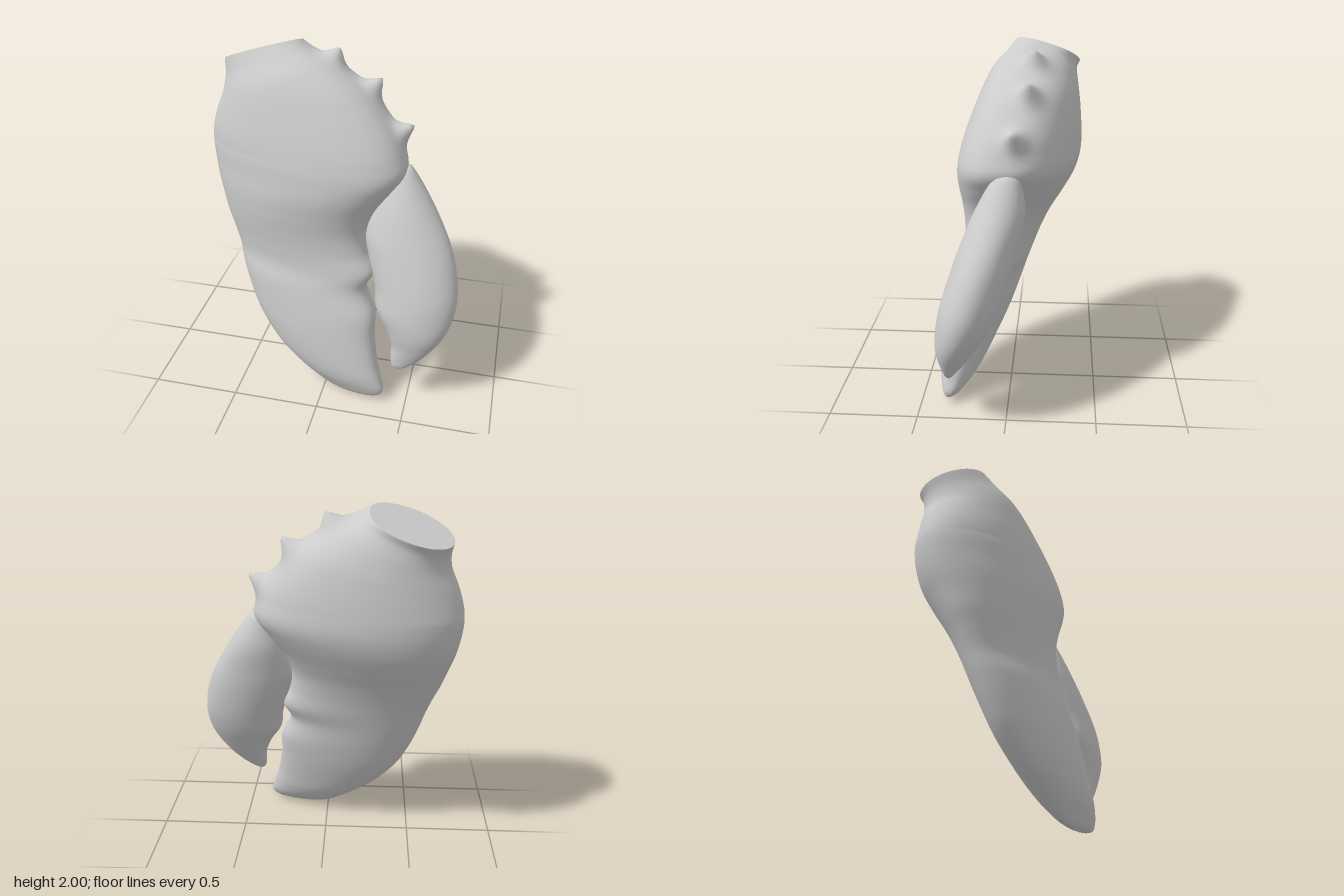
import * as THREE from 'three';

const material = new THREE.MeshStandardMaterial({ color: 0xcccccc, roughness: 0.8 });
const AROUND = 128;

// Cross-sections, top to bottom: [left x, left y, right x, right y, back z, front z]
const PALM = [
  [-0.67, 1.84, -0.235, 1.98, -0.372, 0.002],
  [-0.66, 1.77, -0.17, 1.95, -0.355, 0.05],
  [-0.67, 1.69, -0.03, 1.89, -0.362, 0.125],
  [-0.71, 1.59, 0.16, 1.77, -0.375, 0.19],
  [-0.74, 1.49, 0.31, 1.6, -0.387, 0.245],
  [-0.75, 1.4, 0.385, 1.46, -0.392, 0.28],
  [-0.74, 1.3, 0.4, 1.37, -0.382, 0.295],
  [-0.72, 1.2, 0.335, 1.27, -0.35, 0.298],
  [-0.69, 1.1, 0.245, 1.14, -0.29, 0.285],
  [-0.66, 1.0, 0.205, 1.02, -0.225, 0.272],
  [-0.62, 0.9, 0.22, 0.9, -0.17, 0.27],
  [-0.58, 0.79, 0.265, 0.79, -0.125, 0.283],
  [-0.55, 0.68, 0.22, 0.68, -0.085, 0.308],
  [-0.5, 0.54, 0.28, 0.54, -0.035, 0.345],
  [-0.43, 0.4, 0.29, 0.4, 0.02, 0.37],
  [-0.31, 0.25, 0.315, 0.25, 0.095, 0.39],
  [-0.18, 0.145, 0.345, 0.15, 0.155, 0.395],
  [-0.07, 0.07, 0.365, 0.07, 0.215, 0.38],
  [0.02, 0.025, 0.32, 0.025, 0.265, 0.36],
  [0.14, 0.0, 0.15, 0.0, 0.315, 0.32],
];

const FINGER = [
  [0.36, 1.39, 0.4, 1.39, -0.01, 0.01],
  [0.31, 1.35, 0.44, 1.36, -0.065, 0.08],
  [0.235, 1.2, 0.55, 1.2, -0.095, 0.17],
  [0.19, 1.02, 0.655, 1.02, -0.065, 0.245],
  [0.215, 0.88, 0.71, 0.88, -0.03, 0.295],
  [0.265, 0.72, 0.74, 0.72, 0.02, 0.345],
  [0.285, 0.59, 0.73, 0.59, 0.075, 0.37],
  [0.35, 0.48, 0.69, 0.48, 0.145, 0.375],
  [0.39, 0.38, 0.625, 0.38, 0.21, 0.36],
  [0.395, 0.3, 0.555, 0.3, 0.265, 0.345],
  [0.405, 0.25, 0.49, 0.25, 0.295, 0.335],
  [0.43, 0.228, 0.445, 0.228, 0.315, 0.32],
];

// Spines on the outer ridge: [point near the foot, tip, width]
const SPINES = [
  [[-0.05, 1.9, -0.115], [-0.005, 1.97, -0.12], 0.055],
  [[0.165, 1.755, -0.1], [0.23, 1.83, -0.095], 0.05],
  [[0.345, 1.55, -0.035], [0.42, 1.61, -0.025], 0.05],
];

// Smooth loft through the sections. skew(u) slants each ring in plan, tilt(u)
// tips it front to back, and a fullness below 1 squares off its right half.
function loft(rows, steps, skew, tilt, fullness) {
  const curves = [0, 2].map((k) => new THREE.CatmullRomCurve3(
    rows.map((r) => new THREE.Vector3(r[k], r[k + 1], r[4 + k / 2])), false, 'catmullrom', 0.5));
  const pos = [], index = [];
  for (let i = 0; i <= steps; i++) {
    const u = i / steps;
    const l = curves[0].getPoint(u), r = curves[1].getPoint(u);
    const rx = (r.x - l.x) / 2, half = (r.z - l.z) / 2, shear = skew(u) * rx;
    const rz = Math.sqrt(Math.max(half * half - shear * shear, 0));
    for (let j = 0; j < AROUND; j++) {
      const t = (j / AROUND) * Math.PI * 2, c = Math.cos(t), s = Math.sin(t);
      const side = c > 0 ? Math.sign(s) * Math.abs(s) ** fullness : s;
      const dz = rz * side + shear * c;
      pos.push((l.x + r.x) / 2 + rx * c, (l.y + r.y) / 2 + (r.y - l.y) / 2 * c + tilt(u) * dz, (l.z + r.z) / 2 + dz);
      if (i < steps) {
        const a = i * AROUND + j, b = i * AROUND + (j + 1) % AROUND;
        index.push(a, b, a + AROUND, b, b + AROUND, a + AROUND);
      }
    }
  }
  return surface(pos, index);
}

function surface(pos, index) {
  const g = new THREE.BufferGeometry();
  g.setAttribute('position', new THREE.Float32BufferAttribute(pos, 3));
  g.setIndex(index);
  g.computeVertexNormals();
  return g;
}

// Flat disc over the first ring of a loft
function capOf(geometry) {
  const p = geometry.attributes.position, pos = [], index = [];
  const mid = new THREE.Vector3(), v = new THREE.Vector3();
  for (let j = 0; j < AROUND; j++) {
    v.fromBufferAttribute(p, j);
    mid.addScaledVector(v, 1 / AROUND);
    pos.push(v.x, v.y, v.z);
    index.push(AROUND, (j + 1) % AROUND, j);
  }
  pos.push(mid.x, mid.y, mid.z);
  return surface(pos, index);
}

// Pull the skin out to a spine's tip, with a flared foot around it
function raiseSpine(geometry, near, tip, width) {
  const p = geometry.attributes.position, v = new THREE.Vector3();
  const target = new THREE.Vector3(...near), foot = new THREE.Vector3(0, 0, 0);
  for (let i = 0; i < p.count; i++) {
    v.fromBufferAttribute(p, i);
    if (v.distanceTo(target) < foot.distanceTo(target)) foot.copy(v);
  }
  const pull = new THREE.Vector3(...tip).sub(foot);
  for (let i = AROUND; i < p.count; i++) {
    v.fromBufferAttribute(p, i);
    v.addScaledVector(pull, Math.exp(-((v.distanceTo(foot) / width) ** 1.6)));
    p.setXYZ(i, v.x, v.y, v.z);
  }
}

export function createModel() {
  const group = new THREE.Group();
  group.name = 'claw';
  const add = (geometry, name) => {
    const m = new THREE.Mesh(geometry, material);
    m.name = name;
    group.add(m);
  };

  // Palm with its spines, tapering into the fixed finger
  const palm = loft(PALM, 228, (u) => 0.13 * Math.min(u * 4, 1) + 0.07 * u, (u) => 0.3 * Math.max(1 - u * 6, 0), 0.8);
  for (const [near, tip, width] of SPINES) raiseSpine(palm, near, tip, width);
  palm.computeVertexNormals();
  add(palm, 'palmAndFixedFinger');

  // Flat cut at the wrist
  add(capOf(palm), 'wristCut');

  // Hinged finger
  add(loft(FINGER, 110, () => 0.08, () => 0, 1), 'movableFinger');
  return group;
}
